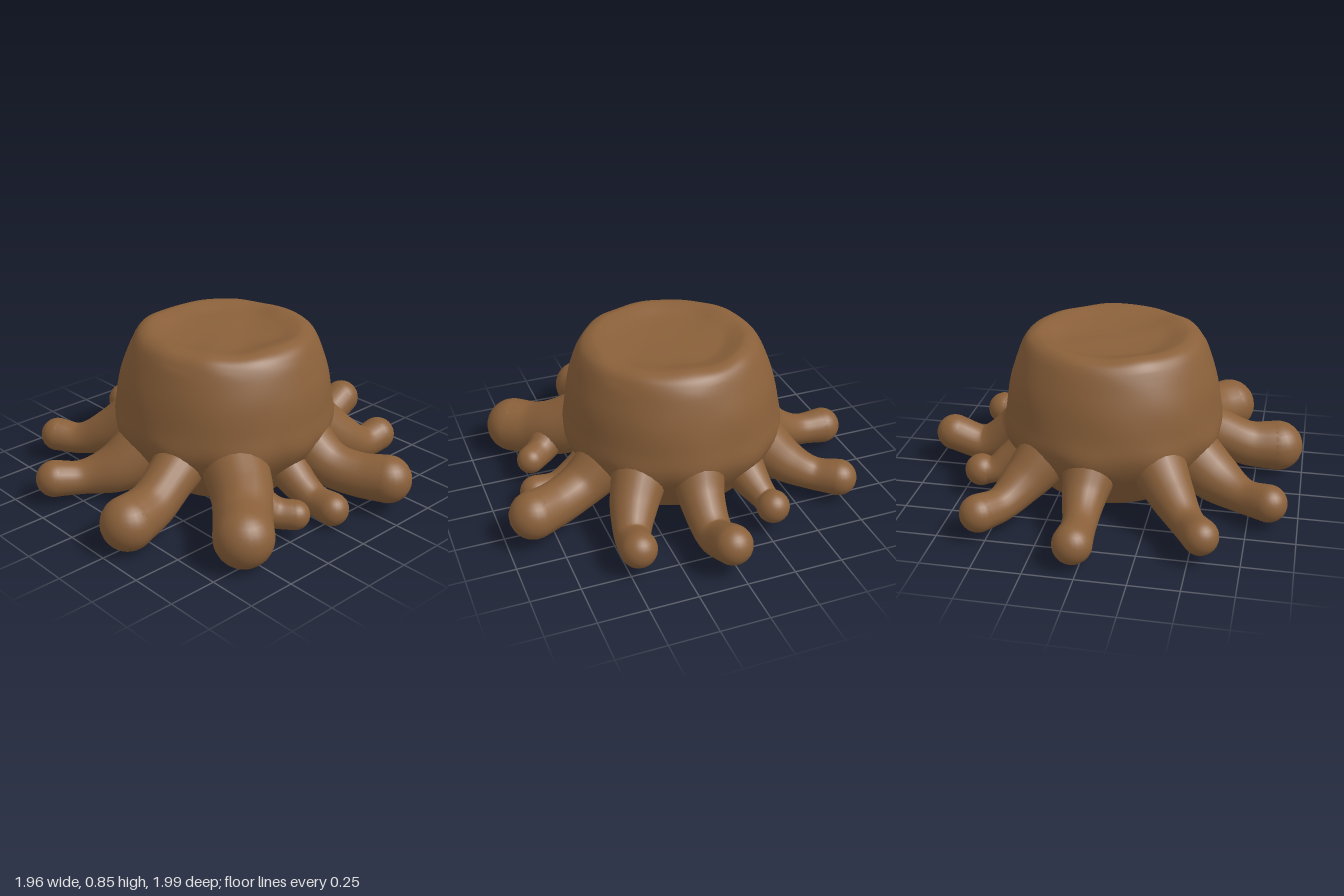
import * as THREE from 'three';
import { mergeVertices } from 'three/addons/utils/BufferGeometryUtils.js';

// Each root: [x, y, z, radius] from inside the trunk out to the bulbous tip
const ROOTS = {
  backRoot: [[0.04, 0.34, -0.43, 0.15], [0.06, 0.22, -0.56, 0.115], [0.06, 0.12, -0.73, 0.095], [0.04, 0.175, -0.9, 0.098]],
  backLeftRoot: [[0.3, 0.32, -0.34, 0.15], [0.39, 0.2, -0.48, 0.12], [0.445, 0.13, -0.62, 0.09], [0.455, 0.145, -0.735, 0.092]],
  leftBackRoot: [[0.42, 0.3, -0.17, 0.15], [0.58, 0.2, -0.21, 0.12], [0.72, 0.17, -0.27, 0.115], [0.86, 0.175, -0.335, 0.122]],
  leftSmallRoot: [[0.46, 0.2, -0.02, 0.11], [0.57, 0.13, -0.02, 0.088], [0.66, 0.09, -0.025, 0.078], [0.77, 0.085, -0.025, 0.084]],
  frontLeftRoot: [[0.38, 0.28, 0.27, 0.17], [0.53, 0.205, 0.36, 0.155], [0.64, 0.16, 0.46, 0.145], [0.74, 0.15, 0.55, 0.147]],
  frontLeftBranch: [[0.5, 0.22, 0.35, 0.1], [0.6, 0.17, 0.32, 0.1], [0.67, 0.135, 0.26, 0.078], [0.735, 0.13, 0.205, 0.074]],
  frontRoot: [[0.15, 0.31, 0.38, 0.15], [0.2, 0.235, 0.54, 0.125], [0.24, 0.16, 0.7, 0.122], [0.27, 0.145, 0.86, 0.135]],
  frontRightRoot: [[-0.12, 0.27, 0.41, 0.16], [-0.18, 0.165, 0.56, 0.135], [-0.28, 0.12, 0.72, 0.09], [-0.35, 0.13, 0.85, 0.095]],
  rightFrontRoot: [[-0.35, 0.31, 0.28, 0.15], [-0.49, 0.2, 0.385, 0.115], [-0.62, 0.135, 0.48, 0.085], [-0.74, 0.14, 0.555, 0.09]],
  rightRoot: [[-0.42, 0.31, -0.03, 0.15], [-0.57, 0.19, -0.04, 0.11], [-0.73, 0.13, -0.03, 0.085], [-0.885, 0.12, -0.03, 0.098]],
  backRightRoot: [[-0.36, 0.31, -0.27, 0.15], [-0.48, 0.2, -0.37, 0.115], [-0.61, 0.135, -0.45, 0.088], [-0.72, 0.135, -0.535, 0.095]],
  backSmallRoot: [[-0.22, 0.25, -0.4, 0.12], [-0.25, 0.19, -0.5, 0.09], [-0.28, 0.145, -0.58, 0.07], [-0.29, 0.14, -0.65, 0.084]],
};

// Low, rolling unevenness of the wood
const lumps = (x, y, z) =>
  Math.sin(9 * x + 4 * y) * Math.sin(8 * z + 2) + 0.6 * Math.sin(17 * y + 11 * z) * Math.sin(15 * x + 1);

// Weld seams and smooth
function smooth(geometry) {
  geometry.deleteAttribute('uv');
  geometry.deleteAttribute('normal');
  const welded = mergeVertices(geometry, 1e-4);
  welded.computeVertexNormals();
  return welded;
}

// Tapered trunk with a dished top, narrow underside and a skirt that swells towards the roots
function trunkGeometry() {
  const rows = [[0, 0.04], [0.33, 0.04], [0.4, 0.07], [0.47, 0.17], [0.535, 0.28], [0.568, 0.38],
    [0.56, 0.48], [0.54, 0.6], [0.51, 0.7], [0.473, 0.79], [0.44, 0.832], [0.39, 0.85], [0.345, 0.843], [0.26, 0.82], [0, 0.81]];
  const curve = new THREE.CatmullRomCurve3(rows.map(([r, y]) => new THREE.Vector3(r, y, 0)));
  const profile = curve.getPoints(56).map((p) => new THREE.Vector2(Math.max(p.x, 0), p.y));
  const geometry = new THREE.LatheGeometry(profile, 96);
  const angles = Object.values(ROOTS).map((r) => Math.atan2(r[1][2], r[1][0]));
  const pos = geometry.attributes.position;
  for (let i = 0; i < pos.count; i++) {
    const x = pos.getX(i), y = pos.getY(i), z = pos.getZ(i);
    const angle = Math.atan2(z, x);
    let pull = 0;
    for (const a of angles) pull = Math.max(pull, Math.exp(-(1 - Math.cos(angle - a)) / 0.025));
    const skirt = Math.exp(-(((y - 0.31) / 0.09) ** 2));
    const radius = Math.hypot(x, z);
    const k = 1 + 0.03 * pull * skirt + (radius > 0.2 ? 0.006 * lumps(x, y, z) : 0);
    const lean = 0.008 + 0.012 * Math.max(0, (y - 0.4) / 0.45);
    const dent = y > 0.79 ? 0.005 * lumps(x * 1.5, 0.8, z * 1.5) * Math.min(1, radius / 0.1) : 0;
    pos.setXYZ(i, x * k + lean, y + dent, z * k);
  }
  return smooth(geometry);
}

// Tube whose thickness follows the root's radii, flaring where it leaves the trunk
function rootGeometry(stations) {
  const segments = 28, sides = 20;
  const path = new THREE.CatmullRomCurve3(stations.map(([x, y, z]) => new THREE.Vector3(x, y, z)));
  const girth = new THREE.CatmullRomCurve3(stations.map((s) => new THREE.Vector3(s[3], 0, 0)), false, 'catmullrom');
  const geometry = new THREE.TubeGeometry(path, segments, 1, sides, false);
  const pos = geometry.attributes.position;
  const v = new THREE.Vector3();
  for (let i = 0; i <= segments; i++) {
    const centre = path.getPointAt(i / segments);
    const radius = girth.getPoint(path.getUtoTmapping(i / segments)).x;
    for (let j = 0; j <= sides; j++) {
      const n = i * (sides + 1) + j;
      v.fromBufferAttribute(pos, n).sub(centre).multiplyScalar(radius).add(centre);
      v.y = Math.max(v.y, 0.004);
      pos.setXYZ(n, v.x, v.y, v.z);
    }
  }
  return smooth(geometry);
}

export function createModel() {
  const bark = new THREE.MeshStandardMaterial({ color: 0x8a603a });
  bark.name = 'bark brown';
  const model = new THREE.Group();
  model.name = 'treeStump';

  const trunk = new THREE.Mesh(trunkGeometry(), bark);
  trunk.name = 'trunk';
  model.add(trunk);

  for (const [name, stations] of Object.entries(ROOTS)) {
    const root = new THREE.Group();
    root.name = name;
    const limb = new THREE.Mesh(rootGeometry(stations), bark);
    limb.name = 'rootLimb';
    // Rounded tip
    const [x, y, z, radius] = stations[stations.length - 1];
    const tip = new THREE.Mesh(new THREE.SphereGeometry(radius, 24, 16), bark);
    tip.name = 'rootTip';
    tip.position.set(x, y, z);
    root.add(limb, tip);
    model.add(root);
  }
  return model;
}
